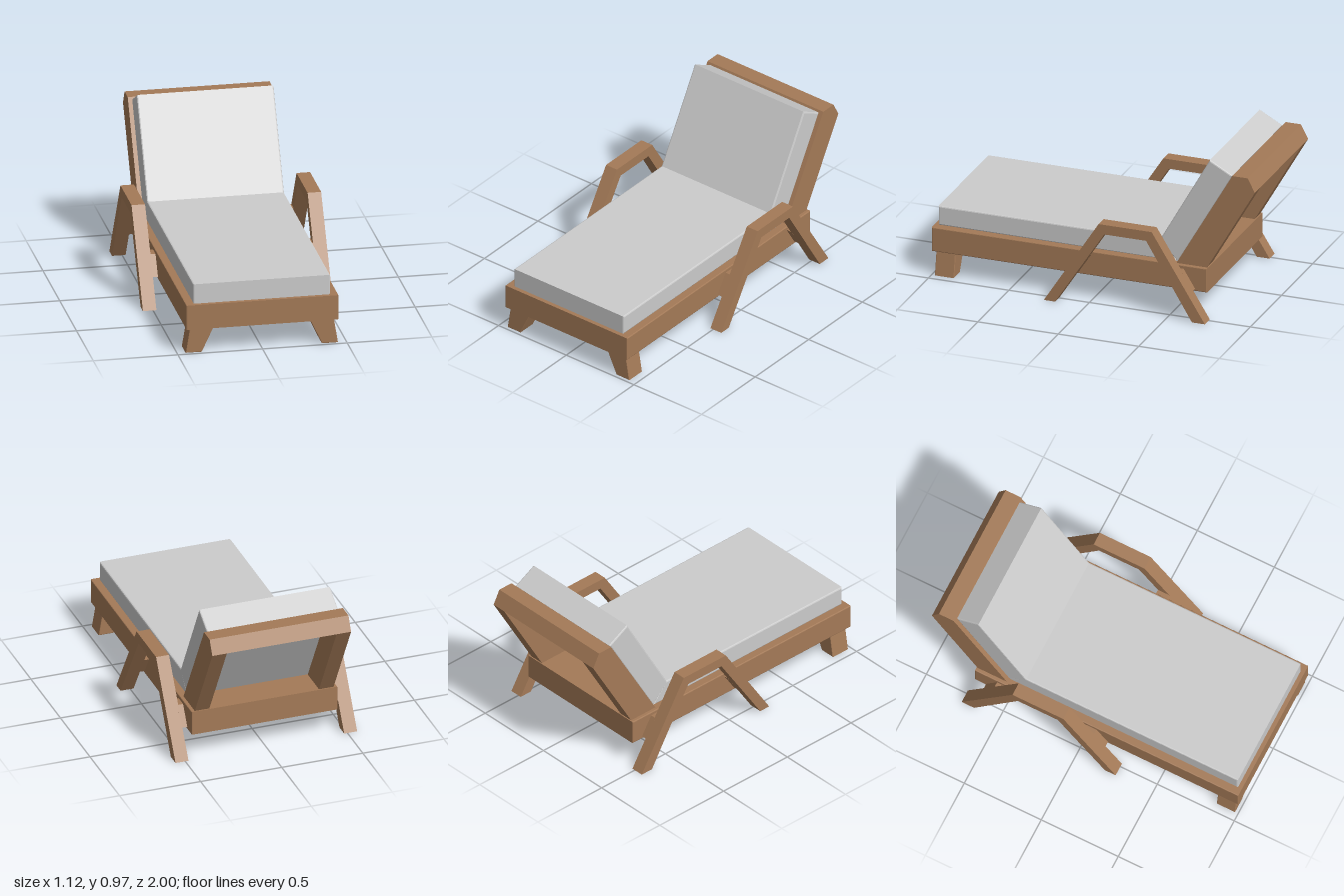
import * as THREE from 'three';

const wood = new THREE.MeshStandardMaterial({ color: 0xa47a57 });
const fabric = new THREE.MeshStandardMaterial({ color: 0xcccccc });

// Extrudes a closed outline, centred in depth, with an optional bevel kept inside the outline.
function extrude(points, depth, bevel) {
  const shape = new THREE.Shape(points.map(([a, b]) => new THREE.Vector2(a, b)));
  const geo = new THREE.ExtrudeGeometry(shape, {
    depth: depth - 2 * bevel,
    bevelEnabled: bevel > 0,
    bevelThickness: bevel,
    bevelSize: bevel,
    bevelOffset: -bevel,
    bevelSegments: 2,
  });
  return geo.translate(0, 0, -depth / 2 + bevel);
}

export function createModel() {
  const group = new THREE.Group();

  function add(name, geo, material) {
    const mesh = new THREE.Mesh(geo, material);
    mesh.name = name;
    group.add(mesh);
  }

  // Side outline in [z, y], extruded across x around the given centre.
  function sidePart(name, points, width, x, material, bevel = 0) {
    const geo = extrude(points, width, bevel).rotateY(-Math.PI / 2).translate(x, 0, 0);
    add(name, geo, material);
  }

  // Base frame and cushions
  sidePart('baseFrame', [[-0.71, 0.15], [1, 0.15], [1, 0.3], [-0.71, 0.3]], 0.9, 0, wood, 0.005);
  sidePart('seatCushion', [[-0.51, 0.3], [0.975, 0.3], [0.975, 0.42], [-0.41, 0.42]], 0.81, 0, fabric, 0.008);
  sidePart('backCushion', [[-0.51, 0.3], [-0.395, 0.41], [-0.71, 0.967], [-0.85, 0.89]], 0.81, 0, fabric, 0.008);

  // Backrest top rail
  sidePart('backrestTopRail', [[-0.81, 0.815], [-0.86, 0.9], [-0.955, 0.9], [-1, 0.815]], 0.68, 0, wood);

  for (const [side, s] of [['left', 1], ['right', -1]]) {
    // Backrest side rails
    sidePart(side + 'BackrestRail',
      [[-0.7, 0.295], [-0.51, 0.295], [-0.86, 0.9], [-0.955, 0.9], [-1, 0.815]],
      0.09, s * 0.383, wood);

    // Armrest with splayed legs
    sidePart(side + 'Armrest',
      [[0.26, 0], [-0.08, 0.53], [-0.41, 0.53], [-0.74, 0],
        [-0.66, 0], [-0.375, 0.47], [-0.115, 0.47], [0.19, 0]],
      0.08, s * 0.52, wood);

    // Spacers between armrest legs and base
    sidePart(side + 'FrontSpacer',
      [[0.083, 0.165], [0.154, 0.165], [0.08, 0.28], [0.008, 0.28]], 0.04, s * 0.465, wood);
    sidePart(side + 'RearSpacer',
      [[-0.637, 0.165], [-0.56, 0.165], [-0.49, 0.28], [-0.566, 0.28]], 0.04, s * 0.465, wood);

    // Splayed front foot
    const foot = [[0.355, 0], [0.45, 0], [0.425, 0.153], [0.283, 0.153]].map(([x, y]) => [s * x, y]);
    add(side + 'FrontFoot', extrude(foot, 0.12, 0.004).translate(0, 0, 0.92), wood);
  }

  return group;
}
